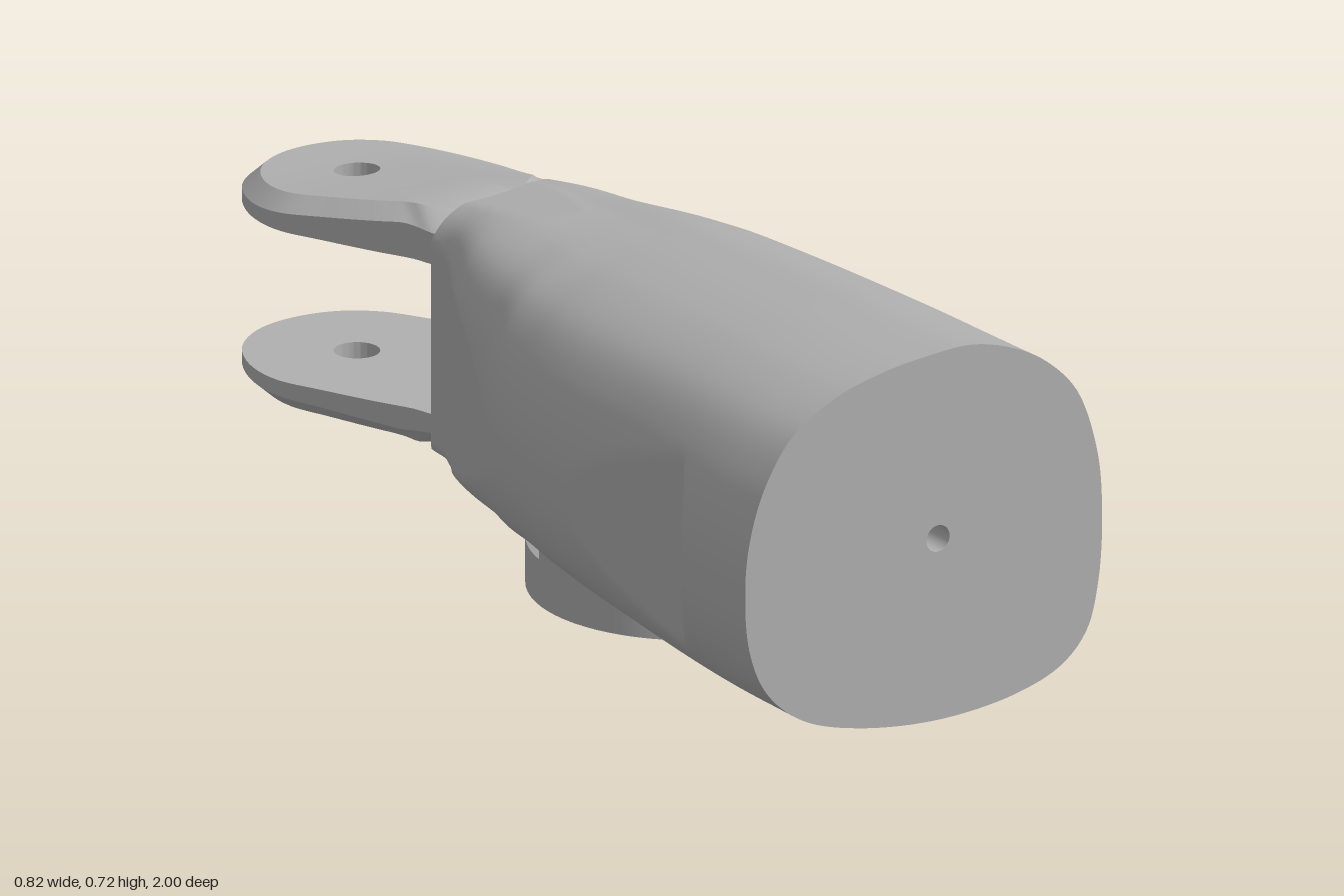
import * as THREE from 'three';
import { toCreasedNormals } from 'three/addons/utils/BufferGeometryUtils.js';

// Smooth curve through [z, value] pairs listed from front to back
function track(pts) {
  const n = pts.length;
  const slope = (i) => {
    const a = pts[Math.max(0, i - 1)], b = pts[Math.min(n - 1, i + 1)];
    return (b[1] - a[1]) / (b[0] - a[0]);
  };
  return (z) => {
    let i = 0;
    while (i < n - 2 && z < pts[i + 1][0]) i++;
    const [z0, a] = pts[i], [z1, b] = pts[i + 1], h = z1 - z0;
    const t = THREE.MathUtils.clamp((z - z0) / h, 0, 1), t2 = t * t, t3 = t2 * t;
    return a * (2 * t3 - 3 * t2 + 1) + b * (3 * t2 - 2 * t3)
      + h * (slope(i) * (t3 - 2 * t2 + t) + slope(i + 1) * (t3 - t2));
  };
}

// Surface from rings of nj points; rings close on themselves
function grid(ni, nj, point, skip = () => false) {
  const pos = [], index = [], P = [];
  for (let i = 0; i < ni; i++) for (let j = 0; j < nj; j++) {
    const p = point(i, j);
    P.push(p);
    pos.push(...p);
  }
  for (let i = 0; i < ni - 1; i++) for (let j = 0; j < nj; j++) {
    const a = i * nj + j, b = i * nj + (j + 1) % nj, c = a + nj, d = b + nj;
    const mid = [0, 1, 2].map((k) => (P[a][k] + P[b][k] + P[c][k] + P[d][k]) / 4);
    if (!skip(mid)) index.push(a, c, b, b, c, d);
  }
  const g = new THREE.BufferGeometry();
  g.setAttribute('position', new THREE.Float32BufferAttribute(pos, 3));
  g.setIndex(index);
  g.computeVertexNormals();
  return g;
}

// Outline of the body along its length
const leftX = track([[1, -0.41], [0.8, -0.405], [0.5, -0.375], [0.2, -0.34], [0, -0.295], [-0.1, -0.25],
  [-0.25, -0.195], [-0.38, -0.13], [-0.48, -0.13], [-0.55, -0.16], [-0.67, -0.2]]);
const rightX = track([[1, 0.39], [0.6, 0.4], [0.2, 0.407], [-0.2, 0.395], [-0.57, 0.367], [-0.62, 0.34], [-0.68, 0.295]]);
const topY = track([[1, 0.725], [0.6, 0.705], [0, 0.655], [-0.3, 0.615], [-0.6, 0.57], [-0.8, 0.547], [-1, 0.538]]);
const lowY = track([[1, 0], [0.6, 0.005], [0.3, 0.018], [0, 0.035], [-0.12, 0.05], [-0.4, 0.1], [-0.6, 0.12], [-1, 0.137]]);

// Rounded cross-section, counter-clockwise seen from the front
const PIVOT = { x: -0.04, z: -0.79, r: 0.043 };
const N = 160;
const section = new THREE.CatmullRomCurve3([
  [-0.41, 0.36], [-0.4, 0.22], [-0.36, 0.13], [-0.28, 0.062], [-0.15, 0.02], [0.03, 0], [0.2, 0.015], [0.3, 0.05],
  [0.355, 0.105], [0.382, 0.2], [0.39, 0.33], [0.38, 0.45], [0.335, 0.58], [0.27, 0.65], [0.2, 0.692], [0.1, 0.722],
  [0, 0.721], [-0.1, 0.71], [-0.2, 0.685], [-0.3, 0.63], [-0.36, 0.55], [-0.395, 0.46],
].map(([x, y]) => new THREE.Vector3((x + 0.01) / 0.4, (y - 0.3625) / 0.3625, 0)), true).getSpacedPoints(N).slice(0, N);

function bodyXY(j, z) {
  let { x: u, y: v } = section[j];
  // towards the back the left corners get squarer and the right ones slope
  const f = THREE.MathUtils.smoothstep(-z, -0.1, 0.5);
  const k = 1 + 0.22 * f * Math.abs(u * v) * (u < 0 ? 2 : -1);
  u = THREE.MathUtils.clamp(u * k, -1, 1);
  v = THREE.MathUtils.clamp(v * k, -1, 1);
  const l = leftX(z), r = rightX(z), t = topY(z), b = lowY(z);
  let x = (l + r) / 2 + u * (r - l) / 2;
  // shallow flat on the right flank behind the front rim
  x = Math.max(x, -0.36 - 0.06 * THREE.MathUtils.smoothstep(z, 0.72, 0.81));
  return [x, (t + b) / 2 + v * (t - b) / 2];
}

// Concave back wall, an arc around the pivot
const wallZ = (x) => Math.max(-0.66, PIVOT.z + Math.sqrt(Math.max(0, 0.37 ** 2 - (x - PIVOT.x) ** 2)));
const endZ = section.map((_, j) => {
  let hi = -0.1, lo = -0.67;
  for (let k = 0; k < 30; k++) {
    const m = (hi + lo) / 2;
    if (m > wallZ(bodyXY(j, m)[0])) hi = m; else lo = m;
  }
  return hi;
});

// Fork plate: rings run round its edge, then across its faces to the pin hole
const forkEdge = new THREE.CatmullRomCurve3([
  [-0.04, -1], [0.05, -0.98], [0.115, -0.93], [0.16, -0.86], [0.21, -0.77], [0.25, -0.7], [0.285, -0.66], [0.29, -0.6],
  [0.24, -0.5], [0.1, -0.37], [-0.03, -0.36], [-0.11, -0.42], [-0.13, -0.48], [-0.165, -0.55], [-0.21, -0.65],
  [-0.25, -0.75], [-0.245, -0.84], [-0.2, -0.93], [-0.125, -0.985],
].map(([x, z]) => new THREE.Vector3(x, 0, z)), true).getSpacedPoints(120).slice(0, 120);

function forkPlate(side) {
  const inner = side > 0 ? 0.485 : 0.19;
  const outer = (x, z, bevel) => {
    const drop = 0.002 + 2 * Math.max(0, x - 0.1) ** 2 + 0.25 * Math.max(0, z + 0.5) + bevel;
    const y = (side > 0 ? topY(z) : lowY(z)) - side * drop;
    return side > 0 ? Math.max(y, inner + 0.012) : Math.min(y, inner - 0.012);
  };
  // [distance from hole to edge, on outer face, bevel depth]
  const rings = [[0, 0, 0], [1, 0, 0], [1, 1, 0.03], [0.8, 1, 0], [0.6, 1, 0], [0.4, 1, 0], [0.2, 1, 0], [0, 1, 0], [0, 0, 0]];
  if (side < 0) rings.reverse();
  const g = grid(rings.length, 120, (i, j) => {
    const [s, out, bevel] = rings[i], e = forkEdge[j];
    const a = Math.atan2(e.z - PIVOT.z, e.x - PIVOT.x);
    const x = THREE.MathUtils.lerp(PIVOT.x + PIVOT.r * Math.cos(a), e.x, s);
    const z = THREE.MathUtils.lerp(PIVOT.z + PIVOT.r * Math.sin(a), e.z, s);
    return [x, out ? outer(x, z, bevel) : inner, z];
  });
  return toCreasedNormals(g, 0.45);
}

export function createModel() {
  const model = new THREE.Group();
  const grey = new THREE.MeshStandardMaterial({ color: 0xb0b0b0, side: THREE.DoubleSide });
  grey.name = 'plain grey';
  const add = (name, geometry, x = 0, y = 0, z = 0) => {
    const mesh = new THREE.Mesh(geometry, grey);
    mesh.name = name;
    mesh.position.set(x, y, z);
    model.add(mesh);
    return mesh;
  };

  // Body shell, open where the round socket enters from below
  const socket = { x: 0.035, z: 0.19 };
  add('bodyShell', grid(141, N, (i, j) => {
    const z = 1 + (endZ[j] - 1) * i / 140;
    return [...bodyXY(j, z), z];
  }, ([x, y, z]) => y < 0.2 && Math.hypot(x - socket.x, z - socket.z) < 0.298));

  // Concave wall between the fork plates
  add('backWall', grid(25, N, (i, j) => {
    const [ex, ey] = bodyXY(j, endZ[j]);
    const x = THREE.MathUtils.lerp(ex, 0.1, i / 24);
    return [x, THREE.MathUtils.lerp(ey, 0.335, i / 24), i ? wallZ(x) : endZ[j]];
  }));

  // Flat front face with a small blind hole
  const face = new THREE.Shape(section.map((_, j) => new THREE.Vector2(...bodyXY(j, 1))));
  face.holes.push(new THREE.Path().absarc(0.022, 0.357, 0.026, 0, Math.PI * 2, true));
  add('frontFace', new THREE.ShapeGeometry(face, 24), 0, 0, 1);
  const bore = new THREE.CylinderGeometry(0.026, 0.026, 0.1, 32, 1, true).rotateX(Math.PI / 2);
  add('frontHoleWall', bore, 0.022, 0.357, 0.95);
  add('frontHoleFloor', new THREE.CircleGeometry(0.026, 32), 0.022, 0.357, 0.9);

  // Round socket underneath with a thin collar
  const collar = [[0, 0.5], [0.285, 0.5], [0.285, 0.02], [0.31, 0.02], [0.31, 0.11]].map((p) => new THREE.Vector2(...p));
  add('socket', toCreasedNormals(new THREE.LatheGeometry(collar, 72), 0.5), socket.x, 0, socket.z);

  // Fork at the back
  add('upperForkPlate', forkPlate(1));
  add('lowerForkPlate', forkPlate(-1));
  return model;
}
